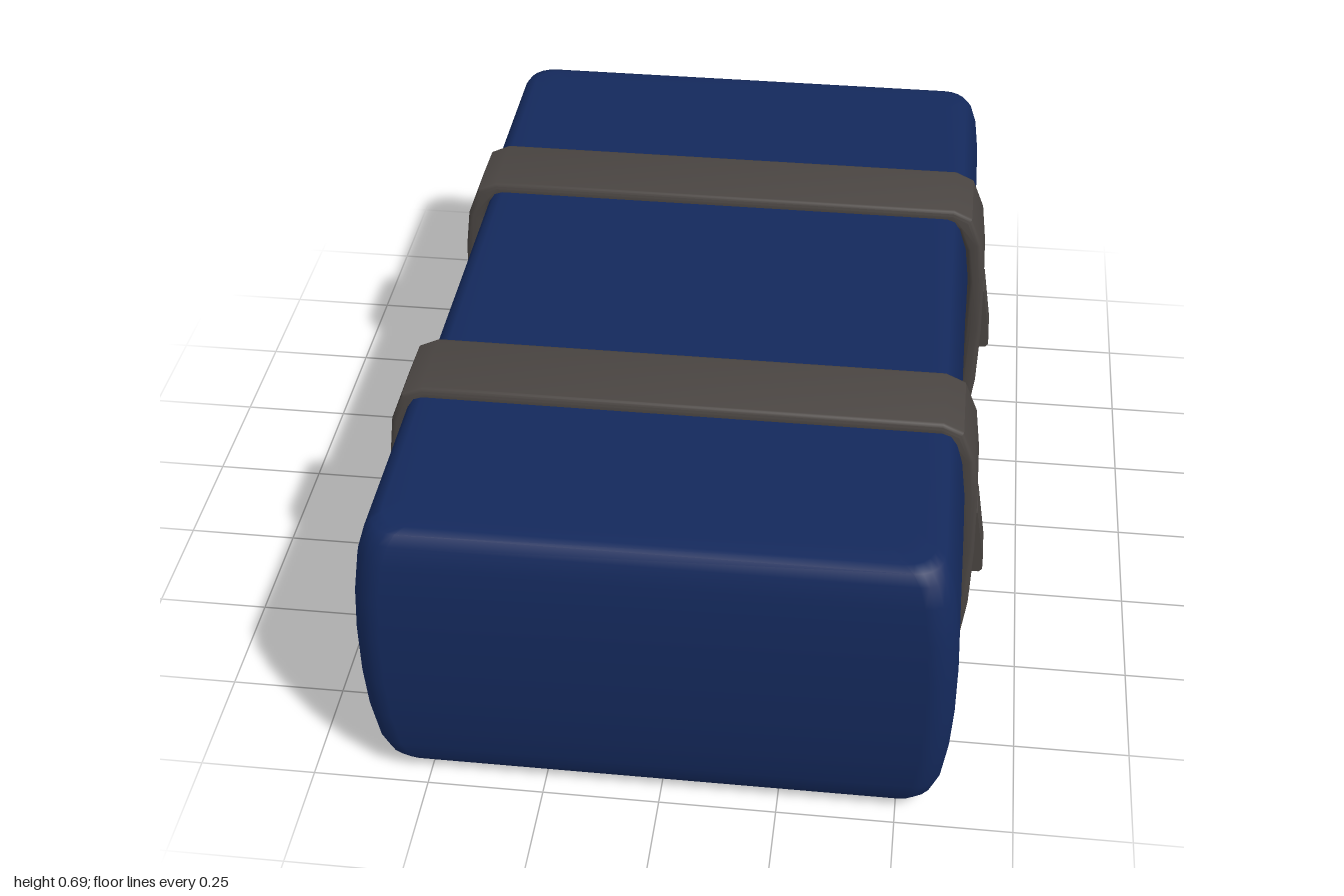
import * as THREE from 'three';
import { toCreasedNormals } from 'three/addons/utils/BufferGeometryUtils.js';

const CX = -0.011, CY = 0.346;

// Rounded-rectangle outline in x/z, slightly narrower between the straps
function footprint(inset) {
  const hx = 0.619 - inset, hz = 1 - inset, r = 0.06, waist = 0.604 - inset;
  const pts = [];
  const corner = (sx, sz, start) => {
    for (let i = 0; i <= 5; i++) {
      const a = start + (i / 5) * Math.PI / 2;
      pts.push([sx * (hx - r) + r * Math.cos(a), sz * (hz - r) + r * Math.sin(a)]);
    }
  };
  const side = (s) => {
    pts.push([s * hx, -s * 0.44], [s * waist, -s * 0.4], [s * waist, s * 0.4], [s * hx, s * 0.44]);
  };
  corner(1, 1, 0);
  corner(-1, 1, Math.PI / 2);
  side(-1);
  corner(-1, -1, Math.PI);
  corner(1, -1, Math.PI * 1.5);
  side(1);
  return pts;
}

// Padded body: outlines stacked upward with bulging walls, closed at both ends
function bodyGeometry() {
  // height from the middle, inset, scale
  const upper = [[0.06, 0, 1], [0.16, 0.005, 1], [0.25, 0.016, 1], [0.295, 0.029, 1],
    [0.317, 0.043, 1], [0.324, 0.062, 1], [0.324, 0.11, 1], [0.324, 0.11, 0]];
  const levels = [...upper.map(([y, i, s]) => [-y, i, s]).reverse(), ...upper];
  const pos = [], index = [];
  let n = 0;
  for (const [y, inset, s] of levels) {
    const ring = footprint(inset);
    n = ring.length;
    for (const [x, z] of ring) pos.push(CX + x * s, CY + y, z * s);
  }
  for (let l = 0; l < levels.length - 1; l++) {
    for (let i = 0; i < n; i++) {
      const a = l * n + i, b = l * n + (i + 1) % n;
      index.push(a, a + n, b, b, a + n, b + n);
    }
  }
  const g = new THREE.BufferGeometry();
  g.setAttribute('position', new THREE.Float32BufferAttribute(pos, 3));
  g.setIndex(index);
  g.computeVertexNormals();
  return g;
}

// Bulging rectangle outline of a strap in x/y, shrunk by d
function strapOutline(d) {
  const q = [[0.646, 0], [0.642, 0.16], [0.63, 0.26], [0.604, 0.326], [0.566, 0.344]]
    .map(([x, y]) => [x * (1 - d / 0.646), y * (1 - d / 0.344)]);
  const right = [...q.slice(1).reverse().map(([x, y]) => [x, -y]), ...q];
  const all = [...right, ...right.map(([x, y]) => [-x, -y])];
  return all.map(([x, y]) => new THREE.Vector2(x, y));
}

function strapGeometry() {
  const bevel = 0.012, width = 0.195;
  const shape = new THREE.Shape(strapOutline(bevel));
  shape.holes.push(new THREE.Path(strapOutline(0.027).reverse()));
  const g = new THREE.ExtrudeGeometry(shape, {
    depth: width - 2 * bevel, bevelEnabled: true, bevelSize: bevel,
    bevelThickness: bevel, bevelSegments: 3,
  });
  g.translate(0, 0, -width / 2 + bevel);
  return toCreasedNormals(g, 0.7);
}

// Wedge-shaped clasp that flares out at its lower end
function claspGeometry() {
  const shape = new THREE.Shape([[0.61, 0.262], [0.65, 0.262], [0.657, 0.27], [0.657, 0.29],
    [0.636, 0.43], [0.61, 0.43]].map(([x, y]) => new THREE.Vector2(x, y)));
  const g = new THREE.ExtrudeGeometry(shape, { depth: 0.1, bevelEnabled: false });
  g.translate(0, 0, -0.05);
  return g;
}

export function createModel() {
  const group = new THREE.Group();
  const fabric = new THREE.MeshStandardMaterial({ color: 0x14295c });
  const webbing = new THREE.MeshStandardMaterial({ color: 0x4a4542 });
  const add = (name, geometry, material, x = 0, y = 0, z = 0) => {
    const mesh = new THREE.Mesh(geometry, material);
    mesh.name = name;
    mesh.position.set(x, y, z);
    group.add(mesh);
  };

  add('body', bodyGeometry(), fabric);

  // Two straps, each with a clasp on the left side
  const strap = strapGeometry(), clasp = claspGeometry();
  for (const [end, s] of [['front', 1], ['back', -1]]) {
    add(end + 'Strap', strap, webbing, CX, CY, s * 0.418);
    add(end + 'Clasp', clasp, webbing, 0, 0, s * 0.428);
  }
  return group;
}
